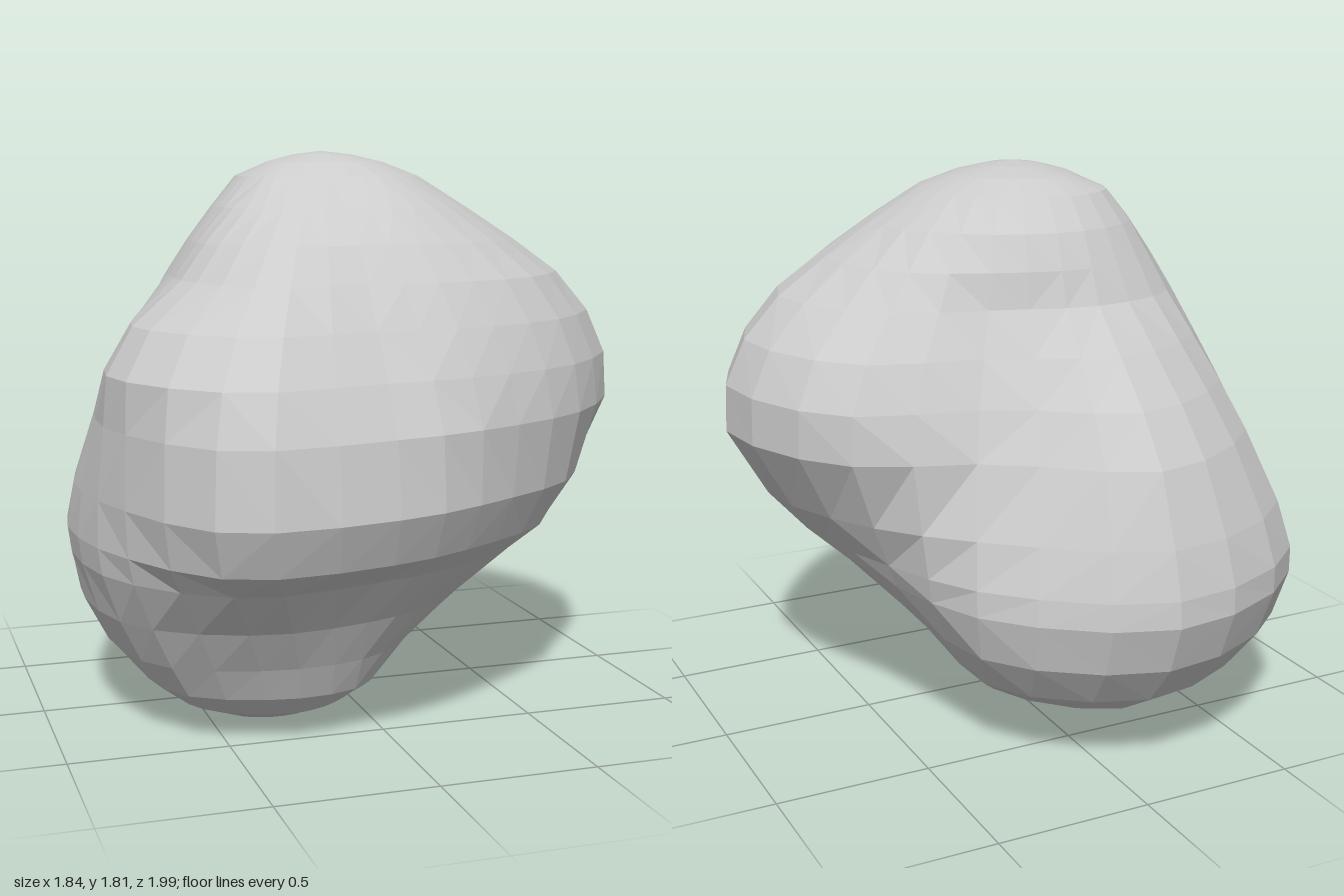
import * as THREE from 'three';

const COLUMNS = 32, ROWS = 18;

// Cross-sections from top to bottom: height, then the radius
// every 30 degrees from +x towards +z around the rock's axis.
const SECTIONS = [
  [1.73, .35, .30, .25, .17, .17, .20, .22, .26, .35, .39, .40, .38],
  [1.58, .59, .52, .45, .40, .42, .40, .37, .39, .47, .51, .54, .59],
  [1.42, .83, .72, .60, .53, .62, .55, .48, .50, .57, .58, .58, .76],
  [1.22, .99, .84, .71, .67, .86, .82, .65, .60, .72, .79, .70, .94],
  [1.00, 1.02, .88, .78, .80, .97, .85, .73, .70, .87, .97, .80, .97],
  [0.68, .81, .79, .74, .82, .97, .86, .82, .82, 1.03, 1.08, .91, .80],
  [0.55, .66, .65, .62, .65, .82, .84, .81, .83, 1.04, 1.10, .93, .73],
  [0.32, .40, .39, .42, .50, .61, .73, .74, .78, .94, 1.0, .84, .52],
  [0.15, .20, .20, .28, .42, .52, .62, .60, .62, .72, .77, .58, .30],
];
const TOP = new THREE.Vector3(-0.06, 1.81, 0.03);
const BOTTOM = new THREE.Vector3(-0.33, 0, 0.2);

// Smooth closed loop through one cross-section
function sectionLoop(y, radii, x = -0.1, z = 0.1) {
  const points = radii.map((radius, i) => {
    const a = (i / radii.length) * Math.PI * 2;
    return new THREE.Vector3(x + radius * Math.cos(a), y, z + radius * Math.sin(a));
  });
  return new THREE.CatmullRomCurve3(points, true, 'catmullrom', 0.5);
}

function boulderGeometry() {
  // Round caps close the lobed middle
  const loops = [
    sectionLoop(1.79, Array(12).fill(0.14), -0.05, 0.02),
    ...SECTIONS.map(([y, ...radii]) => sectionLoop(y, radii)),
    sectionLoop(0.05, Array(12).fill(0.25), -0.3, 0.18),
  ];
  const vertices = [], indices = [];

  // One pole-to-pole spline per column
  for (let j = 0; j < COLUMNS; j++) {
    const knots = [TOP, ...loops.map((loop) => loop.getPoint(j / COLUMNS)), BOTTOM];
    const meridian = new THREE.CatmullRomCurve3(knots, false, 'centripetal');
    for (let i = 0; i <= ROWS; i++) {
      const p = meridian.getPoint(i / ROWS);
      p.y = Math.max(p.y, 0);
      vertices.push(p);
    }
  }

  // Quads between neighbouring columns, split along the shorter diagonal
  const id = (i, j) => (j % COLUMNS) * (ROWS + 1) + i;
  const span = (p, q) => vertices[p].distanceTo(vertices[q]);
  for (let j = 0; j < COLUMNS; j++) {
    for (let i = 0; i < ROWS; i++) {
      const a = id(i, j), b = id(i, j + 1), c = id(i + 1, j), d = id(i + 1, j + 1);
      if (i === 0) indices.push(a, d, c);
      else if (i === ROWS - 1) indices.push(a, b, c);
      else if (span(a, d) < span(b, c)) indices.push(a, b, d, a, d, c);
      else indices.push(a, b, c, b, d, c);
    }
  }
  const geometry = new THREE.BufferGeometry().setFromPoints(vertices);
  geometry.setIndex(indices);
  const faceted = geometry.toNonIndexed();
  faceted.computeVertexNormals();
  return faceted;
}

export function createModel() {
  const group = new THREE.Group();
  group.name = 'rock';
  const stone = new THREE.MeshStandardMaterial({ color: 0xcccccc, flatShading: true });
  const boulder = new THREE.Mesh(boulderGeometry(), stone);
  boulder.name = 'boulder';
  group.add(boulder);
  return group;
}
